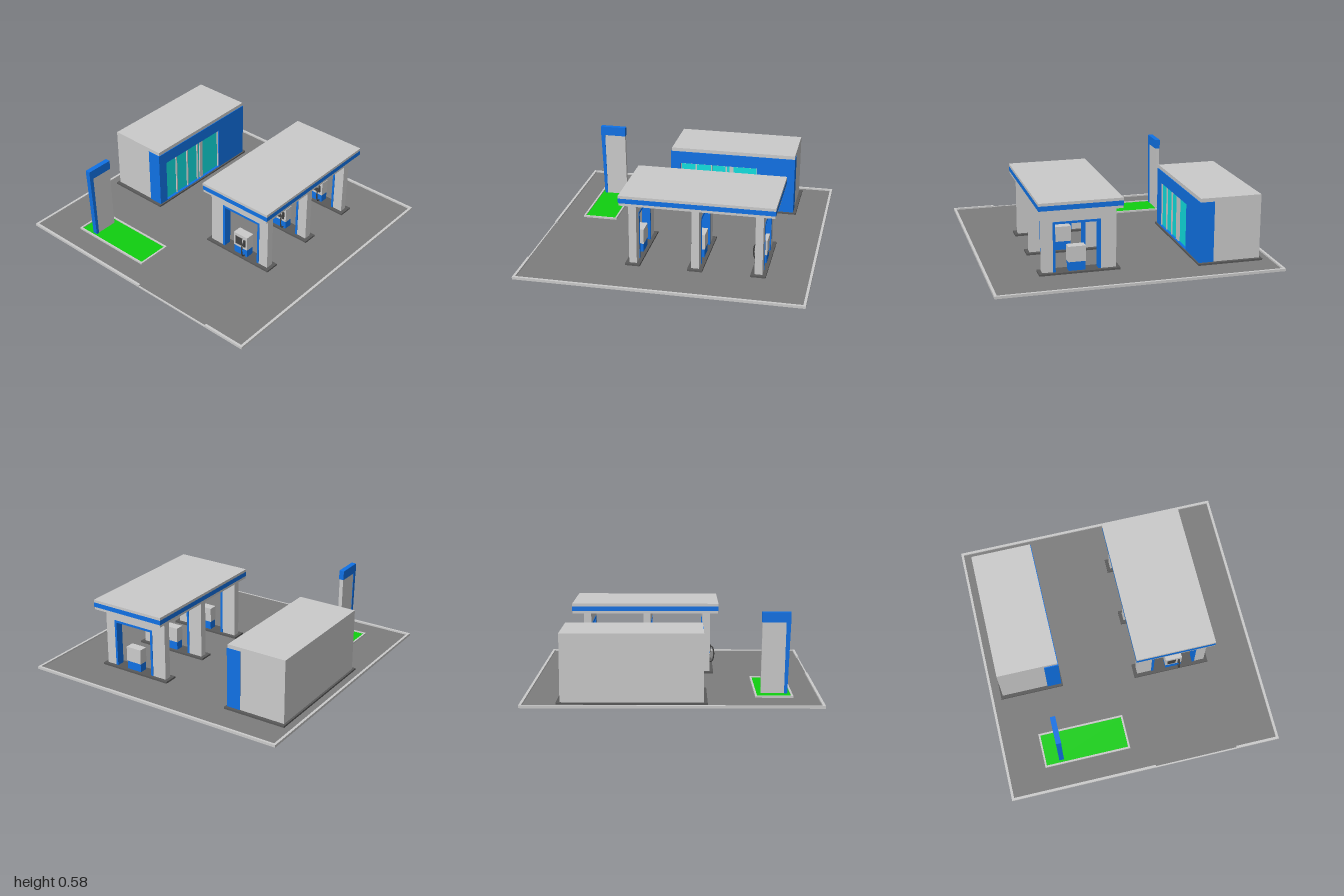
import * as THREE from 'three';

const mat = (color) => new THREE.MeshStandardMaterial({ color });
const GREY = mat(0xcccccc), BLUE = mat(0x1072e6), ASPHALT = mat(0x7d7d7d), DARK = mat(0x5a5a5a);
const GREEN = mat(0x10d010), GLASS = mat(0x10e0e0), BLACK = mat(0x444444);

// Box given by its limits on each axis
function box(parent, name, material, [x0, x1], [y0, y1], [z0, z1]) {
  const mesh = new THREE.Mesh(new THREE.BoxGeometry(x1 - x0, y1 - y0, z1 - z0), material);
  mesh.position.set((x0 + x1) / 2, (y0 + y1) / 2, (z0 + z1) / 2);
  mesh.name = name;
  parent.add(mesh);
  return mesh;
}

// Polygon extruded along z, with an optional hole
function plate(parent, name, material, points, depth, hole) {
  const toV = (p) => new THREE.Vector2(p[0], p[1]);
  const shape = new THREE.Shape(points.map(toV));
  if (hole) shape.holes.push(new THREE.Path(hole.map(toV)));
  const mesh = new THREE.Mesh(new THREE.ExtrudeGeometry(shape, { depth, bevelEnabled: false }), material);
  mesh.name = name;
  parent.add(mesh);
  return mesh;
}

const rect = (x0, x1, y0, y1) => [[x0, y0], [x1, y0], [x1, y1], [x0, y1]];
// Upside-down U with the given outer and inner limits
const arch = (x0, x1, top, i0, i1, iTop, y) =>
  [[x0, y], [i0, y], [i0, iTop], [i1, iTop], [i1, y], [x1, y], [x1, top], [x0, top]];

function group(parent, name) {
  const g = new THREE.Group();
  g.name = name;
  parent.add(g);
  return g;
}

function buildForecourt(root) {
  const g = group(root, 'forecourt');
  box(g, 'asphalt', ASPHALT, [-0.985, 0.985], [0.008, 0.014], [-0.985, 0.99]);
  const h = [0.008, 0.026];
  box(g, 'backCurb', GREY, [-1, 1], h, [-1, -0.982]);
  for (const s of [-1, 1]) {
    const xs = s < 0 ? [-1, -0.982] : [0.982, 1];
    box(g, 'sideCurb', GREY, xs, h, [-0.982, 0.982]);
  }
  // Front curb leaves a low entrance
  box(g, 'frontCurbRight', GREY, [-1, 0.07], h, [0.982, 1]);
  box(g, 'frontCurbLeft', GREY, [0.68, 1], h, [0.982, 1]);
  box(g, 'entranceSill', GREY, [0.07, 0.68], [0.008, 0.017], [0.99, 1]);
}

function buildShop(root) {
  const g = group(root, 'shop');
  box(g, 'shopBase', DARK, [-0.925, -0.455], [0, 0.027], [-0.765, 0.235]);
  const body = [[-0.91, 0.025], [-0.51, 0.025], [-0.51, 0.46], [-0.47, 0.46], [-0.47, 0.487], [-0.91, 0.487]];
  plate(g, 'shopBody', GREY, body, 0.95).position.z = -0.74;
  // Blue facade around the window opening
  const facade = plate(g, 'facade', BLUE, rect(-0.217, 0.743, 0.026, 0.46), 0.105, rect(-0.142, 0.455, 0.03, 0.367));
  facade.rotation.y = Math.PI / 2;
  facade.position.x = -0.57;
  box(g, 'windows', GLASS, [-0.505, -0.485], [0.03, 0.367], [-0.455, 0.142]);
  for (const [z, w] of [[0.139, 0.006], [0.02, 0.01], [-0.1, 0.01], [-0.215, 0.01], [-0.255, 0.03], [-0.452, 0.006]])
    box(g, 'mullion', GREY, [-0.49, -0.475], [0.03, 0.367], [z - w / 2, z + w / 2]);
  box(g, 'windowHead', GREY, [-0.49, -0.475], [0.362, 0.367], [-0.455, 0.142]);
}

function buildPump(parent) {
  const g = group(parent, 'fuelPump');
  box(g, 'pumpBase', BLUE, [-0.058, 0.058], [0.026, 0.092], [-0.03, 0.03]);
  box(g, 'pumpHead', GREY, [-0.061, 0.061], [0.09, 0.2], [-0.033, 0.033]);
  box(g, 'pumpScreen', BLACK, [-0.046, 0.016], [0.11, 0.176], [0.03, 0.035]);
  box(g, 'nozzle', BLACK, [0.032, 0.046], [0.115, 0.172], [0.03, 0.043]);
  const path = new THREE.CatmullRomCurve3([
    [0.038, 0.16, 0.03], [0.038, 0.155, 0.052], [0.038, 0.1, 0.066], [0.038, 0.045, 0.052], [0.038, 0.038, 0.028],
  ].map((p) => new THREE.Vector3(...p)));
  const hose = new THREE.Mesh(new THREE.TubeGeometry(path, 20, 0.005, 8), BLACK);
  hose.name = 'hose';
  g.add(hose);
  return g;
}

function buildCanopy(root) {
  const g = group(root, 'pumpCanopy');
  box(g, 'roofSoffit', GREY, [0.08, 0.653], [0.467, 0.486], [-0.743, 0.333]);
  box(g, 'roofBand', BLUE, [0.077, 0.656], [0.486, 0.52], [-0.746, 0.336]);
  box(g, 'roofTop', GREY, [0.077, 0.656], [0.52, 0.54], [-0.746, 0.336]);
  for (const z of [0.247, -0.194, -0.635]) {
    const bay = group(g, 'pumpBay');
    bay.position.z = z;
    box(bay, 'island', DARK, [0.08, 0.645], [0, 0.027], [-0.053, 0.053]);
    plate(bay, 'portal', GREY, arch(0.105, 0.62, 0.468, 0.22, 0.535, 0.37, 0.026), 0.054).position.z = -0.027;
    plate(bay, 'portalTrim', BLUE, arch(0.212, 0.545, 0.38, 0.23, 0.528, 0.364, 0.026), 0.06).position.z = -0.03;
    buildPump(bay).position.x = 0.38;
  }
}

function buildPlanter(root) {
  const g = group(root, 'planter');
  const border = plate(g, 'planterBorder', GREY, rect(-0.715, -0.08, -0.817, -0.56), 0.027, rect(-0.702, -0.093, -0.804, -0.573));
  border.rotation.x = -Math.PI / 2;
  box(g, 'grass', GREEN, [-0.703, -0.092], [0.001, 0.02], [0.572, 0.805]);
}

// Tall price sign: grey panel, tapering blue front fin and blue cap
function buildSign(root) {
  const g = group(root, 'roadSign');
  const parts = [
    ['signPanel', GREY, [[-0.765, 0.018], [-0.604, 0.018], [-0.612, 0.512], [-0.775, 0.512]], 0.029],
    ['signFin', BLUE, [[-0.786, 0.018], [-0.764, 0.018], [-0.774, 0.512], [-0.805, 0.512]], 0.035],
    ['signCap', BLUE, rect(-0.806, -0.61, 0.511, 0.58), 0.037],
  ];
  for (const [name, material, points, depth] of parts) {
    const mesh = plate(g, name, material, points, depth);
    mesh.rotation.y = Math.PI / 2;
    mesh.position.x = -0.588 - depth / 2;
  }
}

export function createModel() {
  const root = new THREE.Group();
  root.name = 'fuelStation';
  buildForecourt(root);
  buildShop(root);
  buildCanopy(root);
  buildPlanter(root);
  buildSign(root);
  return root;
}
